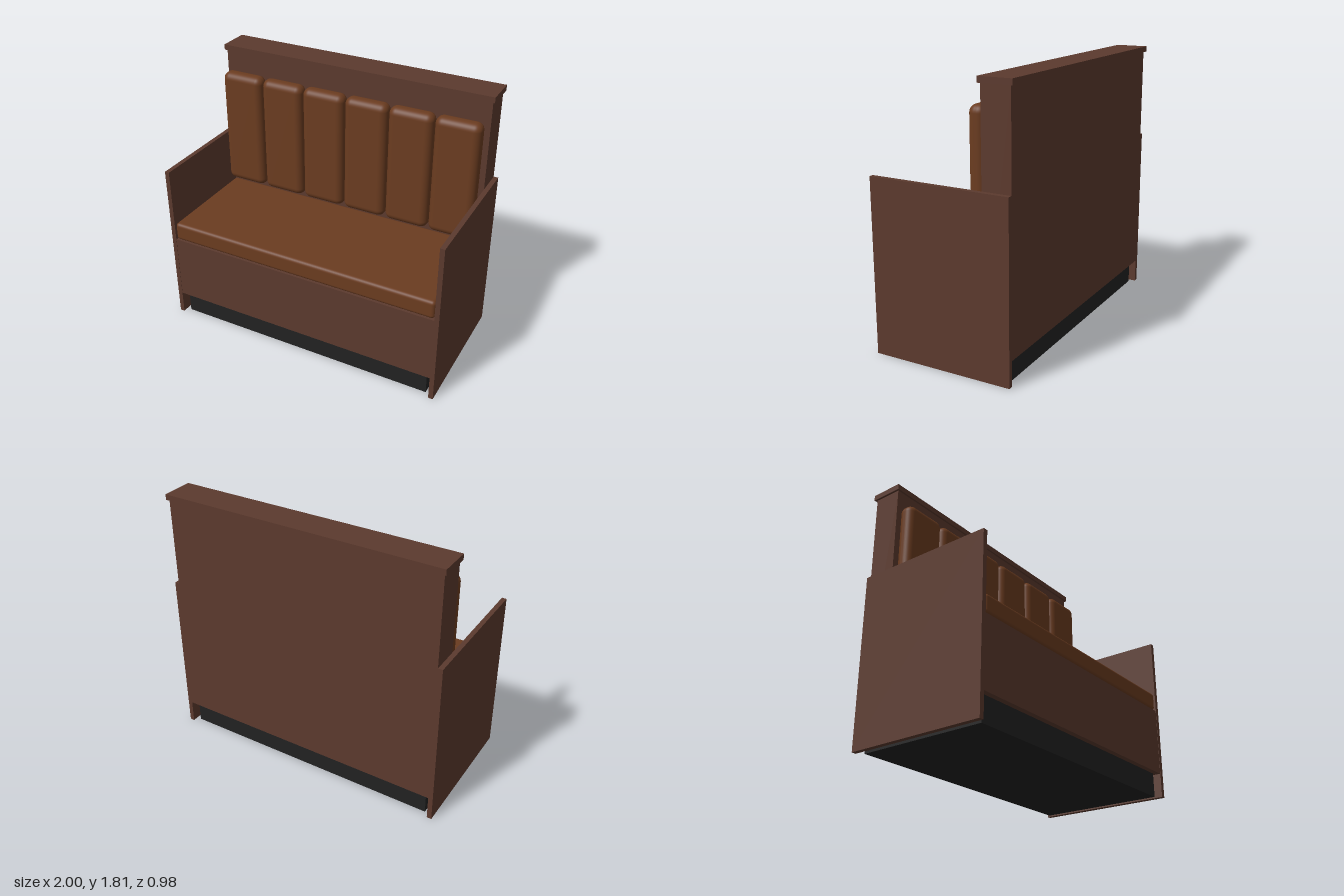
import * as THREE from 'three';
import { RoundedBoxGeometry } from 'three/addons/geometries/RoundedBoxGeometry.js';

const material = (name, color) => {
  const m = new THREE.MeshStandardMaterial({ color });
  m.name = name;
  return m;
};

export function createModel() {
  const bench = new THREE.Group();
  bench.name = 'boothBench';
  const wood = material('dark wood', 0x5c3a2e);
  const leather = material('brown leather', 0x6b3c20);
  const black = material('black plinth', 0x222222);

  // Adds a box given by its extents; a radius makes it a rounded cushion.
  function block(name, mat, [x0, x1], [y0, y1], [z0, z1], radius = 0) {
    const size = [x1 - x0, y1 - y0, z1 - z0];
    const geometry = radius
      ? new RoundedBoxGeometry(...size, 5, radius)
      : new THREE.BoxGeometry(...size);
    const mesh = new THREE.Mesh(geometry, mat);
    mesh.name = name;
    mesh.position.set((x0 + x1) / 2, (y0 + y1) / 2, (z0 + z1) / 2);
    bench.add(mesh);
  }

  // Recessed plinth and seat carcass
  block('plinth', black, [-0.935, 0.935], [0, 0.165], [-0.435, 0.45]);
  block('seatBase', wood, [-0.968, 0.968], [0.165, 0.63], [-0.28, 0.488]);

  // Tall backrest with an overhanging cap
  block('backrest', wood, [-0.968, 0.968], [0.165, 1.775], [-0.474, -0.28]);
  block('backrestCap', wood, [-0.982, 0.982], [1.775, 1.813], [-0.49, -0.267]);

  // Side panels reach the floor
  block('leftPanel', wood, [0.968, 1], [0, 1.163], [-0.474, 0.49]);
  block('rightPanel', wood, [-1, -0.968], [0, 1.163], [-0.474, 0.49]);

  // Seat cushion
  block('seatCushion', leather, [-0.967, 0.965], [0.632, 0.762], [-0.28, 0.487], 0.025);

  // Row of upright back cushions
  for (let i = 0; i < 6; i++) {
    const x = -0.798 + i * 0.317;
    block('backCushion' + (i + 1), leather, [x - 0.155, x + 0.155], [0.81, 1.646], [-0.28, -0.168], 0.05);
  }
  return bench;
}
